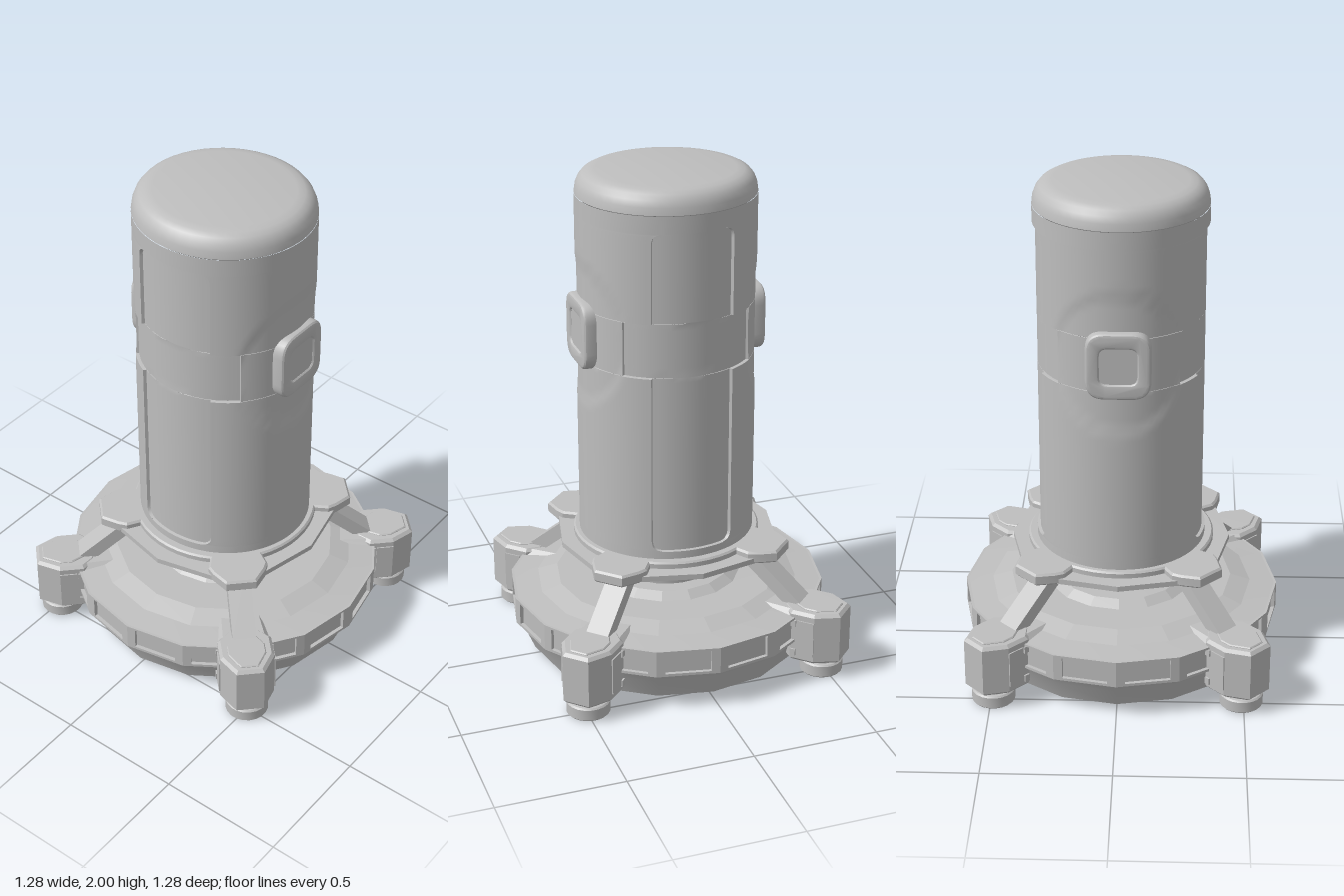
import * as THREE from 'three';
import { toCreasedNormals } from 'three/addons/utils/BufferGeometryUtils.js';

const grey = new THREE.MeshStandardMaterial({ color: 0xbebebe });
grey.name = 'light grey';

function part(name, geometry, crease = 0.3) {
  const mesh = new THREE.Mesh(toCreasedNormals(geometry, crease), grey);
  mesh.name = name;
  return mesh;
}

function lathe(name, points, sides, crease) {
  const profile = points.map(([r, y]) => new THREE.Vector2(r, y));
  return part(name, new THREE.LatheGeometry(profile, sides), crease);
}

// Upright prism from a plan outline of [x, z] points, with chamfered ends
function prism(name, outline, y0, y1, bevel = 0) {
  const shape = new THREE.Shape(outline.map(([x, z]) => new THREE.Vector2(x, -z)));
  const geo = new THREE.ExtrudeGeometry(shape, {
    depth: y1 - y0 - 2 * bevel, bevelEnabled: bevel > 0, bevelSegments: 1,
    bevelThickness: bevel, bevelSize: bevel, bevelOffset: -bevel,
  });
  geo.rotateX(-Math.PI / 2).translate(0, y0 + bevel, 0);
  return part(name, geo);
}

function mirrored(half) {
  return [...half, ...half.map(([x, z]) => [-x, z]).reverse()];
}

function roundRect(path, w, h, r) {
  path.moveTo(w - r, -h).quadraticCurveTo(w, -h, w, -h + r);
  path.lineTo(w, h - r).quadraticCurveTo(w, h, w - r, h);
  path.lineTo(-w + r, h).quadraticCurveTo(-w, h, -w, h - r);
  path.lineTo(-w, -h + r).quadraticCurveTo(-w, -h, -w + r, -h);
  path.closePath();
  return path;
}

// Body wall: rows of a tube whose columns follow the edge of the sunken front and back panels
function bodyWall() {
  const R = 0.352, low = 0.545, high = 1.84, corner = 0.035;
  const rows = [0.5, low - 0.002];
  const ends = [0, 0.003, 0.008, 0.018, corner];
  ends.forEach((e) => rows.push(low + e));
  for (let y = 0.62; y < 1.8; y += 0.03) rows.push(y);
  rows.push(1.269, 1.271, 1.486, 1.488);
  ends.forEach((e) => rows.push(high - e));
  rows.push(high + 0.002, 1.91);
  rows.sort((a, b) => a - b);

  const positions = [], index = [];
  let columns = 0;
  for (const y of rows) {
    const sunk = y >= low - 1e-6 && y <= high + 1e-6;
    const e = Math.max(0, Math.min(y - low, high - y, corner));
    let width = 0.162 - corner + Math.sqrt(corner ** 2 - (corner - e) ** 2);
    if (y > 1.27 && y < 1.487) width = 0.255;
    const edge = Math.asin(width / R);
    const half = [];
    for (let k = 0; k <= 6; k++) half.push([edge * k / 6, sunk ? 0.013 : 0]);
    for (let k = 0; k < 18; k++) {
      const a = edge + 0.006 + (Math.PI / 2 - edge - 0.006) * k / 17;
      // shallow round flat around each side hatch
      const d = Math.hypot(R * (Math.PI / 2 - a), y - 1.385);
      half.push([a, 0.005 * THREE.MathUtils.clamp((0.29 - d) / 0.02, 0, 1)]);
    }
    const front = [...half.slice(1).reverse().map(([a, d]) => [-a, d]), ...half];
    const ring = [...front, ...front.slice(1).map(([a, d]) => [a + Math.PI, d])];
    columns = ring.length;
    for (const [a, d] of ring) positions.push((R - d) * Math.sin(a), y, (R - d) * Math.cos(a));
  }
  for (let i = 0; i < rows.length - 1; i++) {
    for (let j = 0; j < columns - 1; j++) {
      const a = i * columns + j, c = a + columns;
      index.push(a, a + 1, c + 1, a, c + 1, c);
    }
  }
  const geo = new THREE.BufferGeometry();
  geo.setAttribute('position', new THREE.Float32BufferAttribute(positions, 3));
  geo.setIndex(index);
  return geo.scale(1, 1, 0.965);
}

// Rounded side hatch with a sunken centre, facing +z before it is turned
function hatch() {
  const group = new THREE.Group();
  const ring = roundRect(new THREE.Shape(), 0.125, 0.135, 0.075);
  ring.holes.push(roundRect(new THREE.Path(), 0.07, 0.07, 0.03));
  const geo = new THREE.ExtrudeGeometry(ring, {
    depth: 0.04, bevelThickness: 0.015, bevelSize: 0.015, bevelOffset: -0.015, bevelSegments: 3, curveSegments: 8,
  });
  group.add(part('hatchRing', geo.translate(0, 0, 0.316), 0.5));
  const floor = new THREE.ExtrudeGeometry(roundRect(new THREE.Shape(), 0.085, 0.085, 0.03), { depth: 0.03, bevelEnabled: false });
  group.add(part('hatchCentre', floor.translate(0, 0, 0.333)));
  group.name = 'sideHatch';
  group.position.y = 1.385;
  return group;
}

// Corner leg, built outward along +z
function leg() {
  const group = new THREE.Group();
  group.name = 'leg';
  const block = mirrored([[0.055, 0.79], [0.108, 0.70], [0.108, 0.60], [0.06, 0.55]]);
  group.add(prism('legBlock', block, 0.07, 0.29, 0.012));
  const lid = mirrored([[0.035, 0.765], [0.075, 0.695], [0.075, 0.645], [0.045, 0.595]]);
  group.add(prism('legLid', lid, 0.28, 0.296, 0.004));
  group.add(prism('legArm', mirrored([[0.106, 0.64], [0.092, 0.42]]), 0.18, 0.287, 0.02));

  // flank plates and bolts
  for (const side of [-1, 1]) {
    const plate = part('flankPlate', new THREE.BoxGeometry(0.008, 0.15, 0.07));
    plate.position.set(side * 0.109, 0.18, 0.665);
    group.add(plate);
    for (const y of [0.11, 0.24]) {
      const bolt = part('bolt', new THREE.BoxGeometry(0.012, 0.028, 0.022));
      bolt.position.set(side * 0.109, y, 0.613);
      group.add(bolt);
    }
  }

  // round foot
  const foot = lathe('foot', [[0, 0], [0.08, 0], [0.086, 0.006], [0.086, 0.05], [0.08, 0.056],
    [0.07, 0.058], [0.07, 0.075], [0, 0.075]], 20, 0.5);
  foot.position.z = 0.693;
  group.add(foot);

  // sloping strut up to the collar bracket
  const from = new THREE.Vector3(0, 0.27, 0.60), to = new THREE.Vector3(0, 0.485, 0.345);
  const strut = part('strut', new THREE.BoxGeometry(0.094, 0.055, from.distanceTo(to)));
  strut.position.lerpVectors(from, to, 0.5);
  strut.rotation.x = Math.atan2(to.y - from.y, from.z - to.z);
  group.add(strut);
  group.add(prism('strutBracket', mirrored([[0.06, 0.515], [0.104, 0.45], [0.118, 0.415], [0.1, 0.34]]), 0.462, 0.512, 0.008));
  return group;
}

export function createModel() {
  const model = new THREE.Group();
  model.name = 'capsuleTower';

  // Body and rounded cap
  model.add(part('bodyWall', bodyWall(), 0.6));
  const cap = lathe('cap', [[0.344, 1.905], [0.352, 1.912], [0.348, 1.94], [0.338, 1.965], [0.322, 1.984],
    [0.30, 1.995], [0.27, 2], [0, 2]], 48, 0.6);
  cap.scale.z = 0.965;
  model.add(cap);
  for (const side of [-1, 1]) {
    const h = hatch();
    h.rotation.y = side * Math.PI / 2;
    model.add(h);
  }

  // Collar under the body, with a tapered waist
  model.add(lathe('collarRing', [[0, 0.48], [0.375, 0.48], [0.375, 0.505], [0.368, 0.512], [0, 0.512]], 48, 0.5));
  const quarter = [[0, 0.44], [0.24, 0.385], [0.385, 0.24]];
  const plate = [0, 1, 2, 3].flatMap((k) => quarter.map(([x, z]) => {
    const v = new THREE.Vector2(x, z).rotateAround(new THREE.Vector2(), -k * Math.PI / 2);
    return [v.x, v.y];
  }));
  model.add(prism('collarPlate', plate, 0.464, 0.486));
  model.add(lathe('waist', [[0.2, 0.3], [0.2, 0.34], [0.235, 0.48]], 24, 0.3));

  // Base: bowl, rim core and stepped deck
  model.add(lathe('bowl', [[0, 0.01], [0.53, 0.01], [0.565, 0.028], [0.60, 0.11], [0.625, 0.157]], 16, 0.45));
  model.add(lathe('rimCore', [[0.6, 0.157], [0.625, 0.157], [0.625, 0.263]], 16, 0.2));
  model.add(lathe('deck', [[0.64, 0.264], [0.53, 0.275], [0.45, 0.3], [0.3, 0.3], [0.26, 0.325], [0, 0.33]], 16, 0.1));

  // Window frames around the rim, one for each side
  const apothem = 0.64 * Math.cos(Math.PI / 16), half = 0.64 * Math.sin(Math.PI / 16);
  const frame = new THREE.Shape([[-half, 0.155], [half, 0.155], [half, 0.265], [-half, 0.265]].map((p) => new THREE.Vector2(...p)));
  frame.holes.push(new THREE.Path([[-0.09, 0.166], [-0.09, 0.256], [0.09, 0.256], [0.09, 0.166]].map((p) => new THREE.Vector2(...p))));
  const frameGeo = new THREE.ExtrudeGeometry(frame, { depth: 0.016, bevelEnabled: false }).translate(0, 0, apothem - 0.016);
  for (let i = 0; i < 16; i++) {
    const f = part('rimFrame', frameGeo);
    f.rotation.y = (i + 0.5) * Math.PI / 8;
    model.add(f);
  }

  // Four corner legs
  for (let i = 0; i < 4; i++) {
    const l = leg();
    l.rotation.y = (i + 0.5) * Math.PI / 2;
    model.add(l);
  }
  return model;
}
